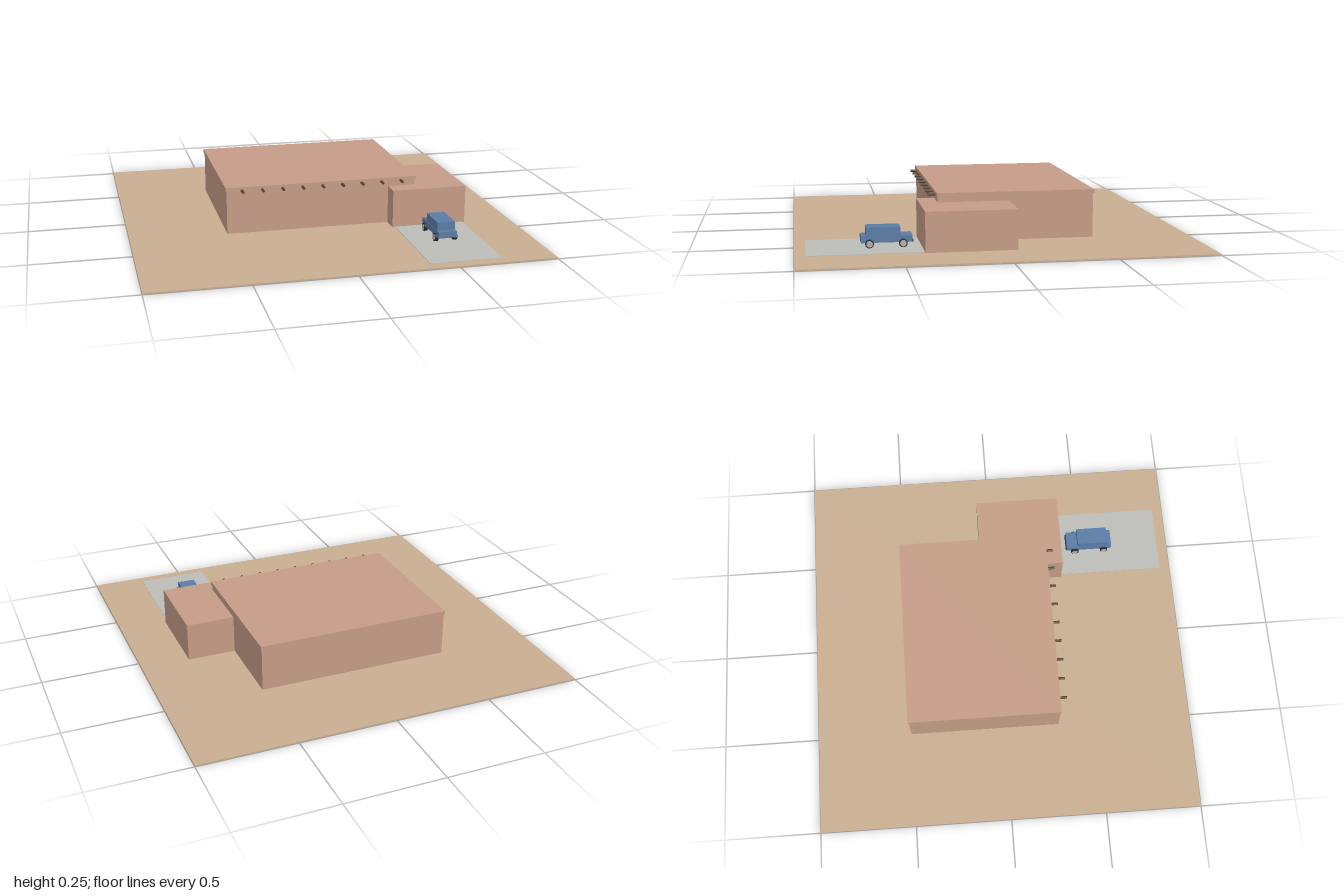
import * as THREE from 'three';

const mat = (color) => new THREE.MeshStandardMaterial({ color });
const sand = mat(0xc8ae90), adobe = mat(0xc49c86), wood = mat(0x5a4636);
const concrete = mat(0xbcbcb8), paint = mat(0x5a7ca6), rubber = mat(0x2a2a2a), steel = mat(0xb0b0b0);

// Box given by its extents on each axis
function box(name, material, [x0, x1], [y0, y1], [z0, z1]) {
  const mesh = new THREE.Mesh(new THREE.BoxGeometry(x1 - x0, y1 - y0, z1 - z0), material);
  mesh.name = name;
  mesh.position.set((x0 + x1) / 2, (y0 + y1) / 2, (z0 + z1) / 2);
  return mesh;
}

// Cylinder lying along the 'x' or 'z' axis
function rod(name, material, radius, length, axis, sides, x, y, z) {
  const geometry = new THREE.CylinderGeometry(radius, radius, length, sides);
  if (axis === 'x') geometry.rotateZ(Math.PI / 2);
  else geometry.rotateX(Math.PI / 2);
  const mesh = new THREE.Mesh(geometry, material);
  mesh.name = name;
  mesh.position.set(x, y, z);
  return mesh;
}

function createHouse() {
  const house = new THREE.Group();
  house.name = 'house';
  house.add(
    box('mainWalls', adobe, [-0.503, 0.499], [0.004, 0.24], [-0.502, 0.291]),
    box('mainRoof', adobe, [-0.508, 0.504], [0.234, 0.253], [-0.507, 0.296]),
    box('garage', adobe, [0.354, 0.75], [0.004, 0.206], [-0.068, 0.383]),
  );
  // Row of roof beams poking out of the front wall
  for (let i = -4; i <= 4; i++) {
    house.add(rod('roofBeam', wood, 0.007, 0.06, 'z', 10, -0.002 + i * 0.1055, 0.235, 0.301));
  }
  return house;
}

function createCar() {
  const car = new THREE.Group();
  car.name = 'car';
  car.add(
    box('lowerBody', paint, [0.502, 0.598], [0.033, 0.066], [0.428, 0.679]),
    box('cabin', paint, [0.504, 0.596], [0.064, 0.108], [0.487, 0.653]),
    box('bumper', rubber, [0.505, 0.595], [0.032, 0.041], [0.423, 0.43]),
  );
  // Wheels with pale hubs and an axle for each pair
  for (const z of [0.474, 0.638]) {
    car.add(rod('axle', rubber, 0.005, 0.1, 'x', 8, 0.55, 0.029, z));
    for (const side of [-1, 1]) {
      car.add(rod('tire', rubber, 0.021, 0.018, 'x', 20, 0.55 + side * 0.05, 0.029, z));
      car.add(rod('hub', steel, 0.016, 0.004, 'x', 20, 0.55 + side * 0.0585, 0.029, z));
    }
  }
  return car;
}

export function createModel() {
  const model = new THREE.Group();
  model.name = 'houseWithCar';
  model.add(
    box('ground', sand, [-1, 1], [0, 0.007], [-1, 1]),
    box('driveway', concrete, [0.368, 0.736], [0.004, 0.0095], [0.375, 0.945]),
    createHouse(),
    createCar(),
  );
  return model;
}
